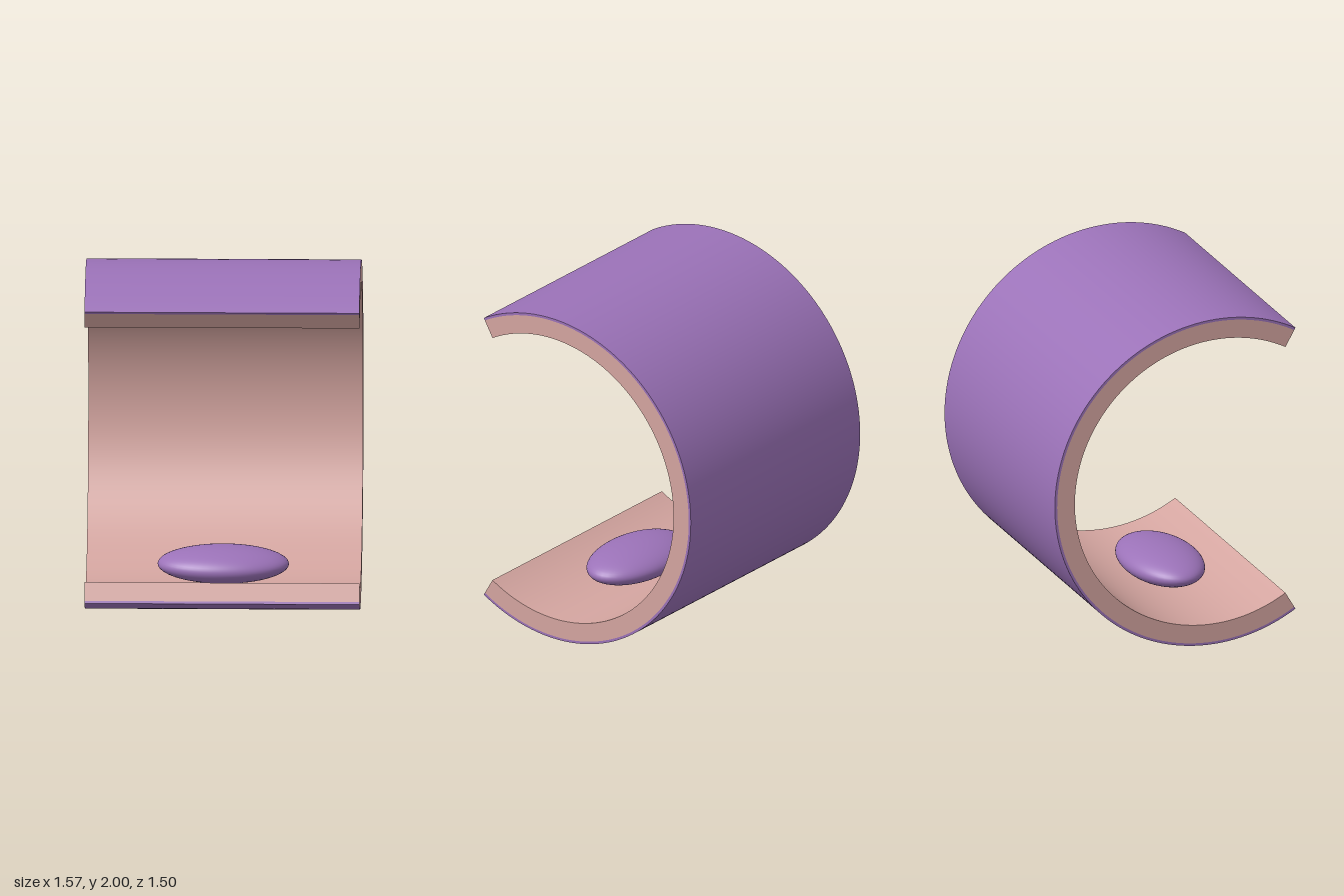
import * as THREE from 'three';
import { toCreasedNormals } from 'three/addons/utils/BufferGeometryUtils.js';

const WIDTH = 1.57;
const purple = new THREE.MeshStandardMaterial({ color: 0x9b72b8 });
const pink = new THREE.MeshStandardMaterial({ color: 0xd4a5a0 });

// Curved shell lying along x, open by 120 degrees towards +z
function shell(name, inner, outer, material) {
  const start = Math.PI / 3, end = Math.PI * 5 / 3;
  const shape = new THREE.Shape();
  shape.absarc(0, 0, outer, start, end, false);
  shape.absarc(0, 0, inner, end, start, true);
  shape.closePath();
  let geo = new THREE.ExtrudeGeometry(shape, { depth: WIDTH, bevelEnabled: false, curveSegments: 80 });
  geo.translate(0, 0, -WIDTH / 2);
  geo.rotateY(-Math.PI / 2);
  geo = toCreasedNormals(geo, Math.PI / 6);
  const mesh = new THREE.Mesh(geo, material);
  mesh.name = name;
  mesh.position.set(0, 1, 0.25);
  return mesh;
}

export function createModel() {
  const group = new THREE.Group();
  group.name = 'curvedBed';

  // Thin outer cover and thick inner lining
  group.add(shell('outerCover', 0.985, 1, purple));
  group.add(shell('innerLining', 0.875, 0.985, pink));

  // Flattened cushion resting on the bottom of the lining
  const cushion = new THREE.Mesh(new THREE.SphereGeometry(1, 48, 32), purple);
  cushion.name = 'cushion';
  cushion.scale.set(0.375, 0.1, 0.227);
  cushion.position.set(0, 0.23, 0.25);
  group.add(cushion);

  return group;
}
